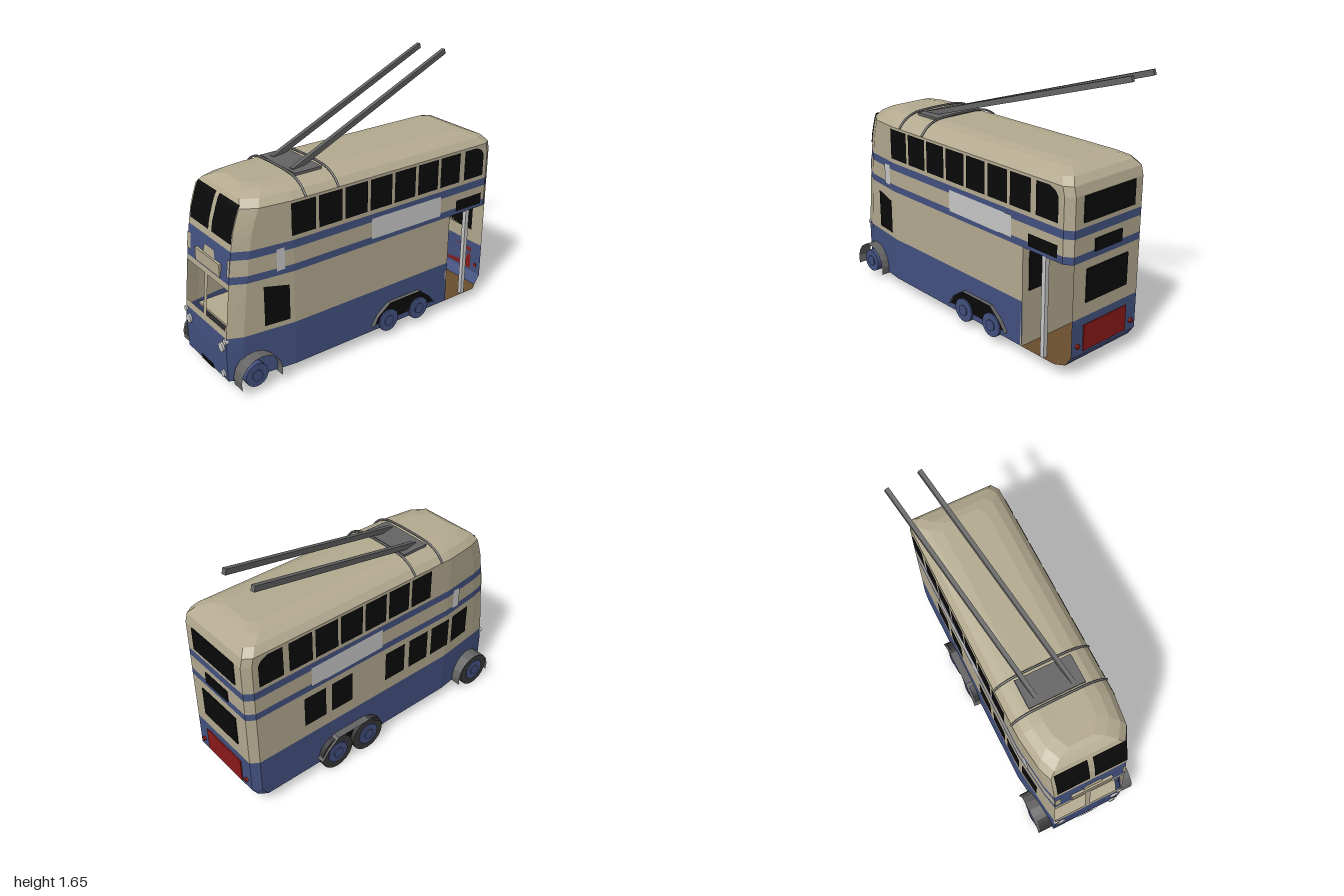
import * as THREE from 'three';

const mat = (name, color) => {
  const m = new THREE.MeshStandardMaterial({ color, side: THREE.DoubleSide });
  m.name = name;
  return m;
};
const CX = 0.025, HALF = 0.305;

// Body levels: height, front z, rear z, roof inset
const LEVELS = [
  [0.08, 0.985, -0.94, 0], [0.14, 0.988, -0.98, 0], [0.28, 0.99, -0.98, 0], [0.365, 0.985, -0.98, 0],
  [0.41, 0.981, -0.98, 0], [0.665, 0.954, -0.98, 0], [0.7, 0.95, -0.98, 0], [0.745, 0.944, -0.98, 0],
  [0.845, 0.932, -0.98, 0], [0.895, 0.925, -0.98, 0], [1.0, 0.907, -0.98, 0], [1.08, 0.882, -0.98, 0],
  [1.135, 0.862, -0.966, 0], [1.175, 0.835, -0.93, 0.035], [1.203, 0.79, -0.86, 0.09], [1.215, 0.755, -0.81, 0.16],
];

// Half width of the side wall, tapering towards the front
const halfWidth = z => HALF - 0.04 * Math.max(0, (z - 0.57) / 0.33);

// Front wall z at a given height
function frontZ(y) {
  for (let i = 1; i < LEVELS.length; i++) {
    const [y0, z0] = LEVELS[i - 1], [y1, z1] = LEVELS[i];
    if (y <= y1) return z0 + (z1 - z0) * (y - y0) / (y1 - y0);
  }
  return LEVELS.at(-1)[1];
}

// Plan outline of the body at one level, starting at the front
function ring([y, zf, zr, inset]) {
  const h = HALF - inset, hf = halfWidth(zf - 0.09) - inset;
  return [
    [-0.225 + inset, y, zf], [0.25 - inset, y, zf], [CX + hf, y, zf - 0.09],
    [CX + h, y, 0.57], [CX + h, y, -0.63], [CX + h, y, zr + 0.05], [CX + h - 0.035, y, zr],
    [CX - h + 0.035, y, zr], [CX - h, y, zr + 0.05], [CX - h, y, 0.57], [CX - hf, y, zf - 0.09],
  ];
}

// Flat-shaded mesh from a list of convex polygons
function polyMesh(name, material, polys) {
  const pos = [];
  for (const p of polys)
    for (let i = 1; i < p.length - 1; i++) pos.push(...p[0], ...p[i], ...p[i + 1]);
  const g = new THREE.BufferGeometry();
  g.setAttribute('position', new THREE.Float32BufferAttribute(pos, 3));
  g.computeVertexNormals();
  const m = new THREE.Mesh(g, material);
  m.name = name;
  return m;
}

export function createModel() {
  const group = new THREE.Group();
  group.name = 'trolleybus';
  const cream = mat('cream', 0xb4aa90), blue = mat('blue', 0x435180), black = mat('black', 0x0a0a0a);
  const white = mat('white', 0xc8c8c8), red = mat('red', 0x8a1a1a), brown = mat('brown', 0x6b4e2e);
  const grey = mat('grey', 0x646464), rubber = mat('rubber', 0x383838);

  const add = (name, geo, material, x = 0, y = 0, z = 0) => {
    const m = new THREE.Mesh(geo, material);
    m.name = name;
    m.position.set(x, y, z);
    group.add(m);
    return m;
  };
  const box = (name, material, x0, x1, y0, y1, z0, z1) =>
    add(name, new THREE.BoxGeometry(x1 - x0, y1 - y0, z1 - z0), material, (x0 + x1) / 2, (y0 + y1) / 2, (z0 + z1) / 2);
  const poly = (name, material, polys) => group.add(polyMesh(name, material, polys));

  // Body shell in painted bands, open at the windscreen and rear platform
  const paint = { cream: [], blue: [] };
  for (let l = 0; l < LEVELS.length - 1; l++) {
    const a = ring(LEVELS[l]), b = ring(LEVELS[l + 1]);
    const y = (LEVELS[l][0] + LEVELS[l + 1][0]) / 2;
    for (let i = 0; i < a.length; i++) {
      if ((i === 4 || i === 5) && y < 0.7) continue;
      if (i === 0 && y > 0.41 && y < 0.665) continue;
      const j = (i + 1) % a.length;
      const band = y < 0.365 || (y > 0.7 && y < 0.745) || (y > 0.845 && y < 0.895);
      const isBlue = band || (i === 0 && y > 0.7 && y < 0.895);
      paint[isBlue ? 'blue' : 'cream'].push([a[i], a[j], b[j], b[i]]);
    }
  }
  paint.cream.push(ring(LEVELS.at(-1)));
  poly('creamBody', cream, paint.cream);
  poly('blueBody', blue, paint.blue);

  // Underside, platform and inner walls
  const base = ring(LEVELS[0]), corner = [CX - HALF, 0.08, -0.63];
  poly('underside', cream, [[...base.slice(0, 5), corner, base[9], base[10]]]);
  poly('rearPlatform', brown, [[...base.slice(4, 9), corner]]);
  box('frontUnderPanel', blue, -0.13, 0.18, 0.073, 0.079, 0.74, 0.92);
  box('platformCeiling', cream, -0.275, 0.325, 0.7, 0.71, -0.93, -0.62);
  box('platformBulkhead', cream, -0.275, 0.33, 0.08, 0.7, -0.63, -0.615);
  box('platformBulkheadWindow', black, 0.14, 0.28, 0.42, 0.66, -0.637, -0.63);
  box('platformPole', white, 0.3, 0.328, 0.08, 0.7, -0.805, -0.777);
  box('cabBulkhead', cream, -0.275, 0.325, 0.36, 0.7, 0.56, 0.57);
  box('cabBulkheadWindow', black, -0.165, 0.105, 0.46, 0.665, 0.57, 0.577);
  box('cabFloor', cream, -0.225, 0.275, 0.34, 0.355, 0.57, 0.9);
  box('cabCeiling', cream, -0.22, 0.27, 0.69, 0.7, 0.57, 0.88);

  // Thin plates following the front wall
  const frontPlate = (name, material, x0, x1, y0, y1, off = 0.006, topInset = 0) => {
    const ys = [y0, ...LEVELS.map(l => l[0]).filter(y => y > y0 && y < y1), y1];
    const at = (x, y, s) => [x + s * topInset * (y - y0) / (y1 - y0), y, frontZ(y) + off];
    poly(name, material, ys.slice(1).map((y, i) =>
      [at(x0, ys[i], 1), at(x1, ys[i], -1), at(x1, y, -1), at(x0, y, 1)]));
  };
  frontPlate('frontUpperWindow', black, -0.205, 0.005, 0.94, 1.155);
  frontPlate('frontUpperWindow', black, 0.04, 0.252, 0.94, 1.155);
  frontPlate('windscreenPillar', cream, -0.015, 0.02, 0.41, 0.665, 0);
  frontPlate('frontSignSurround', cream, -0.04, 0.095, 0.79, 0.845, 0.005, 0.015);
  frontPlate('frontSideFlash', cream, -0.225, -0.185, 0.745, 0.845, 0.005);
  frontPlate('frontSideFlash', cream, 0.23, 0.25, 0.745, 0.845, 0.005);
  frontPlate('numberPlate', black, -0.05, 0.095, 0.081, 0.115);
  box('frontSignBox', cream, -0.115, 0.16, 0.71, 0.79, 0.93, 0.955);

  // Round lamps, front and rear
  const lamp = (name, material, x, y, z, r) =>
    add(name, new THREE.CylinderGeometry(r, r, 0.02, 14).rotateX(Math.PI / 2), material, x, y, z);
  for (const x of [-0.18, 0.205]) lamp('headlamp', white, x, 0.295, 0.99, 0.029);
  for (const x of [-0.217, 0.24]) lamp('sideLamp', white, x, 0.345, 0.985, 0.018);
  lamp('fogLamp', white, 0.205, 0.115, 0.988, 0.022);
  for (const x of [-0.2, 0.25]) lamp('tailLamp', red, x, 0.2, -0.985, 0.014);

  // Rear windows, sign and panel
  for (const [name, material, hw, y0, y1] of [
    ['rearUpperWindow', black, 0.205, 0.925, 1.075], ['rearSign', black, 0.11, 0.735, 0.81],
    ['rearLowerWindow', black, 0.17, 0.45, 0.65], ['rearPanel', red, 0.178, 0.155, 0.315],
  ]) box(name, material, CX - hw, CX + hw, y0, y1, -0.987, -0.98);

  // Thin plates following a side wall, given as [z, y] corners
  const sidePlate = (name, material, side, pts) =>
    poly(name, material, [pts.map(([z, y]) => [CX + side * (halfWidth(z) + 0.006), y, z])]);
  const rect = (z0, z1, y0, y1) => [[z0, y0], [z1, y0], [z1, y1], [z0, y1]];
  for (const side of [1, -1]) {
    for (let i = 0; i < (side > 0 ? 7 : 6); i++) {
      const z = -0.69 + i * 0.185;
      sidePlate('upperWindow', black, side, rect(z, z + 0.163, 0.925, 1.122));
    }
    sidePlate('upperRearWindow', black, side,
      [[-0.73, 0.925], [-0.895, 0.925], [-0.895, 1.07], [-0.875, 1.1], [-0.83, 1.122], [-0.73, 1.122]]);
    sidePlate('advertPanel', white, side, rect(-0.54, 0.68, 0.73, 0.865));
    // Rear wheel arch, its lip and the front mudguard
    const arch = [[0, 0.12], [-0.04, 0.185], [-0.13, 0.25], [-0.38, 0.25], [-0.46, 0.185], [-0.51, 0.12]];
    sidePlate('rearWheelArch', black, side, arch);
    const strip = (name, pts, x0, x1) => poly(name, grey, pts.slice(1).map((p, i) =>
      [[x0, pts[i][1], pts[i][0]], [x1, pts[i][1], pts[i][0]], [x1, p[1], p[0]], [x0, p[1], p[0]]]));
    strip('rearMudguard', arch, CX + side * 0.3, side > 0 ? 0.355 : -0.33);
    const arc = [];
    for (let i = 0; i <= 10; i++) {
      const t = -0.28 + (Math.PI + 0.56) * i / 10;
      arc.push([0.83 + 0.14 * Math.cos(t), 0.11 + 0.14 * Math.sin(t)]);
    }
    strip('frontMudguard', arc, side > 0 ? 0.28 : -0.24, side > 0 ? 0.37 : -0.33);
  }
  sidePlate('cabWindow', black, 1, [[0.605, 0.4], [0.765, 0.4], [0.765, 0.655], [0.605, 0.625]]);
  sidePlate('platformSign', black, 1, rect(-0.895, -0.675, 0.725, 0.8));
  for (const z of [-0.6, -0.395, 0.035, 0.235, 0.43, 0.625])
    sidePlate('lowerWindow', black, -1, rect(z, z + 0.16, 0.455, 0.665));

  // Wheels: tyres on the right, hubs on both sides
  const disc = (name, material, r, x0, x1, z) =>
    add(name, new THREE.CylinderGeometry(r, r, x1 - x0, 20).rotateZ(Math.PI / 2), material, (x0 + x1) / 2, 0.12, z);
  for (const z of [0.85, -0.13, -0.38]) {
    disc('tyre', rubber, 0.12, -0.315, -0.225, z);
    disc('hub', blue, 0.075, -0.321, -0.3, z);
    disc('hubCap', blue, 0.035, -0.328, -0.31, z);
    disc('hub', blue, 0.075, 0.29, 0.345, z);
    disc('hubCap', blue, 0.035, 0.33, 0.353, z);
  }

  // Roof hoops and trolley base
  const half = [[0.31, 1.14], [0.27, 1.185], [0.2, 1.22], [0.12, 1.23]];
  const profile = [...half.map(([x, y]) => [-x, y]), ...half.slice().reverse()];
  for (const z of [0.485, 0.26]) {
    const curve = new THREE.CatmullRomCurve3(profile.map(([x, y]) => new THREE.Vector3(CX + x, y, z)));
    add('roofHoop', new THREE.TubeGeometry(curve, 24, 0.007, 6), grey);
  }
  box('trolleyBase', grey, -0.16, 0.2, 1.21, 1.226, 0.28, 0.465);

  // Trolley poles
  for (const [a, b] of [
    [[-0.095, 1.215, 0.42], [-0.355, 1.63, -0.93]], [[0.135, 1.215, 0.44], [-0.14, 1.63, -0.955]],
  ]) {
    const from = new THREE.Vector3(...a), to = new THREE.Vector3(...b);
    const pole = add('trolleyPole', new THREE.BoxGeometry(0.026, 0.034, from.distanceTo(to)), grey);
    pole.position.copy(from).lerp(to, 0.5);
    pole.lookAt(to);
  }
  return group;
}
